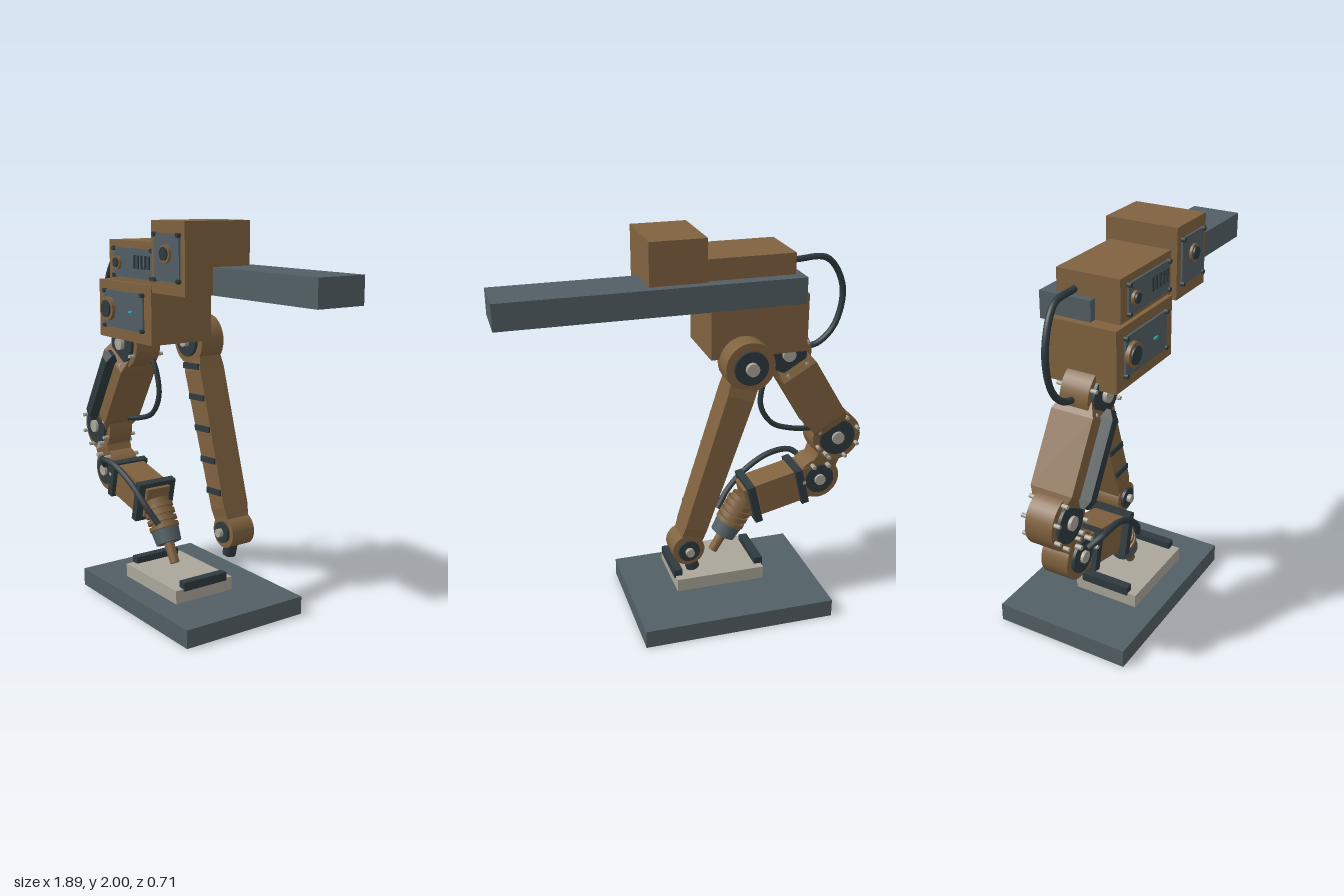
import * as THREE from 'three';

const mat = (color) => new THREE.MeshStandardMaterial({ color });
const BROWN = mat(0x80623f), SLATE = mat(0x525f65), DARK = mat(0x2f3a3e), PALE = mat(0xaaa69a), CYAN = mat(0x22b5b5);

export function createModel() {
  const root = new THREE.Group();
  root.name = 'weldingRobot';

  const add = (name, geo, material, parent = root) => {
    const m = new THREE.Mesh(geo, material);
    m.name = name;
    parent.add(m);
    return m;
  };
  // Box given by its limits
  const box = (name, material, x0, x1, y0, y1, z0, z1) => {
    const m = add(name, new THREE.BoxGeometry(x1 - x0, y1 - y0, z1 - z0), material);
    m.position.set((x0 + x1) / 2, (y0 + y1) / 2, (z0 + z1) / 2);
    return m;
  };
  // Cylinder along z between two depths
  const disc = (name, material, x, y, r, z0, z1, sides = 32) => {
    const g = new THREE.CylinderGeometry(r, r, z1 - z0, sides).rotateX(Math.PI / 2);
    add(name, g, material).position.set(x, y, (z0 + z1) / 2);
  };
  // Round joint: hub, dark washers and pale pin on both sides, optional ring of bolts
  const joint = (name, x, y, z, r, half, rWasher, rPin, reach, bolts = 0) => {
    disc(name + 'Hub', BROWN, x, y, r, z - half, z + half);
    disc(name + 'Washer', DARK, x, y, rWasher, z - half - 0.015, z + half + 0.015);
    disc(name + 'Pin', PALE, x, y, rPin, z - reach, z + reach, 16);
    for (let i = 0; i < bolts; i++) {
      const a = ((i + 0.5) / bolts) * Math.PI * 2, b = r * 0.88;
      disc(name + 'Bolt', PALE, x + b * Math.cos(a), y + b * Math.sin(a), 0.01, z - half - 0.03, z + half + 0.03, 8);
    }
  };
  // Straight member from p to q with rectangular sections [fraction, width, depth]
  const link = (name, material, p, q, z, sections) => {
    const n = sections.length - 1;
    const len = Math.hypot(q[0] - p[0], q[1] - p[1]);
    const box = new THREE.BoxGeometry(1, 1, 1, 1, n, 1);
    const pos = box.attributes.position;
    for (let i = 0; i < pos.count; i++) {
      const [t, w, d] = sections[Math.round((pos.getY(i) + 0.5) * n)];
      pos.setXYZ(i, pos.getX(i) * w, t * len, pos.getZ(i) * d);
    }
    const geo = box.toNonIndexed();
    geo.computeVertexNormals();
    const m = add(name, geo, material);
    m.position.set(p[0], p[1], z);
    m.rotation.z = Math.atan2(q[1] - p[1], q[0] - p[0]) - Math.PI / 2;
    return m;
  };
  const hose = (name, points, r) => {
    const curve = new THREE.CatmullRomCurve3(points.map((p) => new THREE.Vector3(...p)));
    add(name, new THREE.TubeGeometry(curve, 48, r, 10), DARK);
  };

  // Floor plate, workpiece and clamps
  box('basePlate', SLATE, -0.67, 0.335, 0, 0.095, -0.36, 0.355);
  box('workpiece', PALE, -0.38, 0.095, 0.12, 0.19, -0.09, 0.255);
  box('clamp', DARK, -0.388, -0.343, 0.18, 0.225, -0.05, 0.21);
  box('clamp', DARK, 0.058, 0.103, 0.18, 0.225, -0.05, 0.21);

  // Overhead rail and housings
  box('rail', SLATE, -0.54, 0.945, 1.66, 1.79, -0.137, 0.123);
  box('carriage', BROWN, -0.503, -0.05, 1.665, 1.895, -0.07, 0.248);
  box('driveHousing', BROWN, -0.058, 0.222, 1.66, 2.0, -0.09, 0.28);
  box('shoulderHousing', BROWN, -0.575, -0.08, 1.4, 1.692, -0.083, 0.27);

  // Front panels with corner screws
  const panel = (x0, x1, y0, y1, z) => {
    box('panel', SLATE, x0, x1, y0, y1, z - 0.005, z + 0.01);
    for (const x of [x0 + 0.006, x1 - 0.006])
      for (const y of [y0 + 0.006, y1 - 0.006]) disc('panelScrew', DARK, x, y, 0.011, z, z + 0.02, 10);
  };
  panel(-0.447, -0.083, 1.715, 1.86, 0.248);
  panel(-0.022, 0.188, 1.722, 1.943, 0.28);
  panel(-0.513, -0.145, 1.457, 1.645, 0.27);
  const port = (x, y, z, r) => {
    disc('portRing', BROWN, x, y, r, z, z + 0.022);
    disc('portLens', DARK, x, y, r * 0.72, z, z + 0.03);
  };
  port(-0.4, 1.785, 0.25, 0.033);
  port(0.083, 1.85, 0.28, 0.043);
  port(-0.46, 1.55, 0.277, 0.06);
  for (let i = 0; i < 5; i++) box('ventSlot', DARK, -0.25 + i * 0.033, -0.237 + i * 0.033, 1.763, 1.828, 0.25, 0.264);
  box('statusLight', CYAN, -0.268, -0.238, 1.545, 1.555, 0.27, 0.288);

  // Working arm
  const Z = 0.095, S = [-0.515, 1.355], E = [-0.815, 0.855], W = [-0.725, 0.62], F = [-0.335, 0.527];
  joint('shoulder', ...S, Z, 0.13, 0.072, 0.1, 0.034, 0.108, 6);
  joint('elbow', ...E, Z, 0.135, 0.07, 0.098, 0.034, 0.1, 8);
  joint('wrist', ...W, Z, 0.115, 0.07, 0.08, 0.03, 0.1);
  link('upperArm', BROWN, S, E, Z, [[0.05, 0.17, 0.13], [0.2, 0.2, 0.215], [0.8, 0.2, 0.215], [0.96, 0.17, 0.13]]);
  link('armCover', DARK, S, E, 0.225, [[0.1, 0.05, 0.02], [0.17, 0.05, 0.065], [0.8, 0.05, 0.065], [0.87, 0.05, 0.02]]);
  link('wristLink', BROWN, E, W, Z, [[0, 0.15, 0.13], [0.5, 0.13, 0.15], [1, 0.14, 0.13]]);
  for (const [x, y] of [[-0.75, 0.768], [-0.768, 0.7], [-0.685, 0.7], [-0.63, 0.62]]) disc('linkBolt', PALE, x, y, 0.012, -0.01, 0.2, 8);
  link('forearm', BROWN, W, F, Z, [[0, 0.15, 0.13], [0.22, 0.18, 0.16], [0.85, 0.18, 0.16], [1.04, 0.16, 0.14]]);
  link('rearCollar', DARK, W, F, Z, [[0.22, 0.2, 0.21], [0.32, 0.2, 0.21]]);
  link('frontCollar', DARK, W, F, Z, [[0.9, 0.215, 0.225], [1.0, 0.215, 0.225]]);

  // Torch: ribbed neck, nozzle and tip
  const torch = new THREE.Group();
  torch.name = 'torch';
  torch.position.set(-0.315, 0.505, Z);
  torch.rotation.z = 0.53;
  root.add(torch);
  const barrel = (name, material, r0, r1, from, to) => {
    add(name, new THREE.CylinderGeometry(r0, r1, to - from, 28), material, torch).position.y = -(from + to) / 2;
  };
  barrel('torchNeck', BROWN, 0.068, 0.062, -0.03, 0.15);
  for (let i = 0; i < 4; i++) barrel('torchRib', BROWN, 0.08, 0.08, i * 0.037, i * 0.037 + 0.022);
  barrel('torchNozzle', SLATE, 0.075, 0.068, 0.135, 0.21);
  barrel('torchTip', BROWN, 0.027, 0.025, 0.2, 0.32);

  // Hoses
  hose('upperHose', [[-0.54, 1.83, 0.045], [-0.72, 1.82, 0.06], [-0.82, 1.66, 0.08], [-0.79, 1.47, 0.08], [-0.7, 1.375, 0.08], [-0.6, 1.355, 0.09]], 0.016);
  hose('middleHose', [[-0.45, 1.31, 0.05], [-0.4, 1.21, 0.04], [-0.385, 1.08, 0.035], [-0.45, 0.975, 0.035], [-0.56, 0.93, 0.04], [-0.68, 0.91, 0.05]], 0.014);
  hose('torchHose', [[-0.7, 0.655, 0.19], [-0.64, 0.705, 0.235], [-0.52, 0.7, 0.235], [-0.38, 0.63, 0.22], [-0.27, 0.53, 0.2], [-0.2, 0.44, 0.165]], 0.016);

  // Support arm with dark bands and foot
  const B = -0.125, P = [-0.245, 1.385], Q = [0.065, 0.43];
  joint('supportShoulder', ...P, B, 0.125, 0.067, 0.085, 0.033, 0.105);
  joint('supportFoot', ...Q, B, 0.083, 0.068, 0.055, 0.022, 0.105);
  link('supportArm', BROWN, P, Q, B, [[0.04, 0.15, 0.11], [0.16, 0.14, 0.15], [0.88, 0.115, 0.15], [1, 0.11, 0.11]]);
  for (let i = 0; i < 5; i++) {
    const t = 0.136 + i * 0.163, w = 0.13 - i * 0.004;
    const band = add('supportBand', new THREE.BoxGeometry(w, 0.03, 0.02), DARK);
    band.position.set(P[0] + (Q[0] - P[0]) * t, P[1] + (Q[1] - P[1]) * t, -0.05);
    band.rotation.z = 0.06;
  }
  const foot = add('supportTip', new THREE.CylinderGeometry(0.035, 0.035, 0.11, 20), DARK);
  foot.position.set(0.04, 0.34, B);
  foot.rotation.z = -0.27;

  return root;
}
